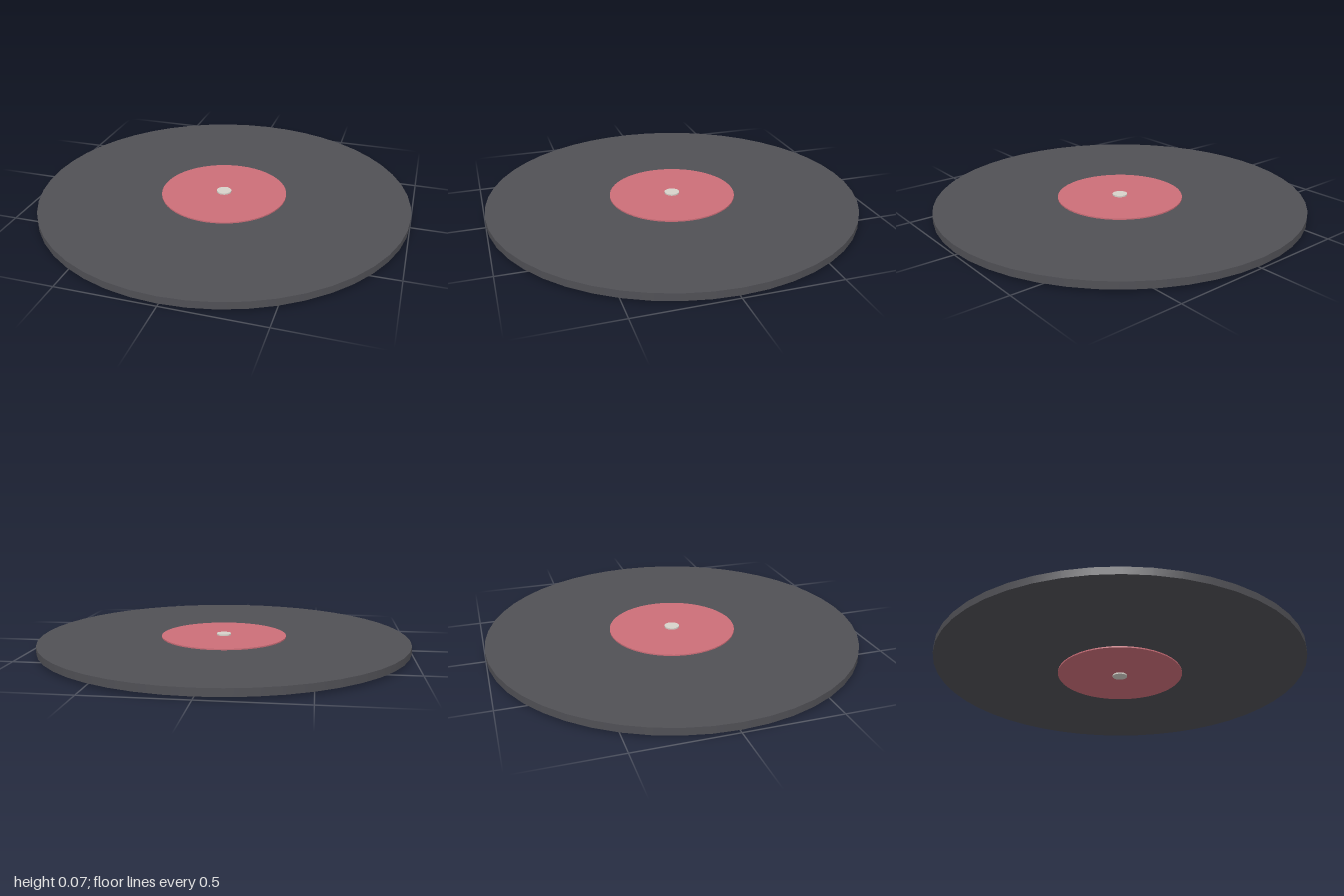
import * as THREE from 'three';

const MID_Y = 0.034;

// Flat round slab centred on the disc's mid-plane
function slab(name, radius, thickness, color, segments) {
  const mesh = new THREE.Mesh(
    new THREE.CylinderGeometry(radius, radius, thickness, segments),
    new THREE.MeshStandardMaterial({ color })
  );
  mesh.name = name;
  mesh.position.y = MID_Y;
  return mesh;
}

export function createModel() {
  const model = new THREE.Group();
  model.name = 'record';

  // Each inner slab is slightly thicker, so it stands proud on both faces
  model.add(
    slab('disc', 1, 0.038, 0x505055, 48),
    slab('label', 0.34, 0.052, 0xcc6e78, 48),
    slab('spindleCap', 0.04, 0.068, 0xd6d2ca, 24)
  );
  return model;
}
